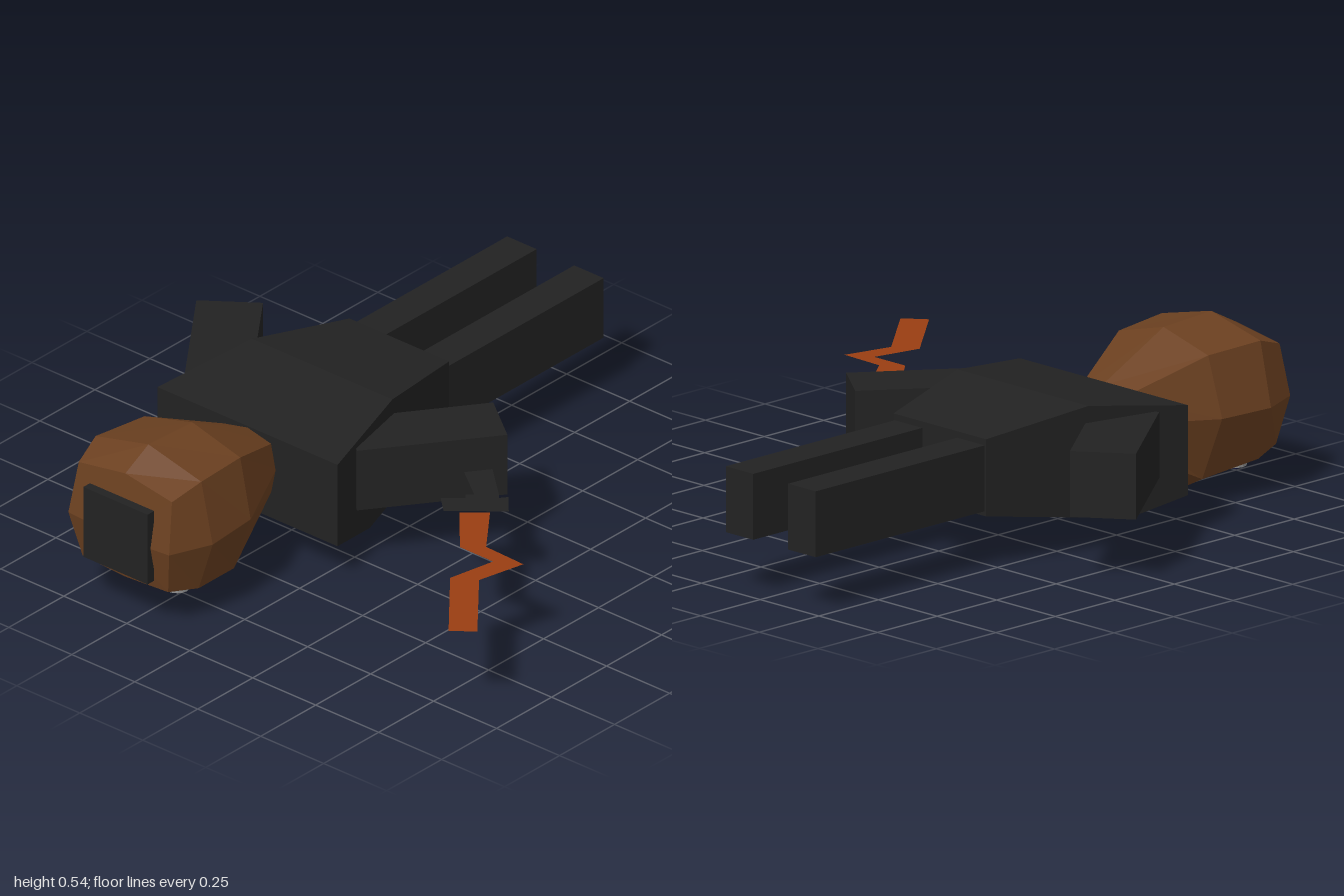
import * as THREE from 'three';

const CX = -0.295; // centre line of the lying figure

const mat = (color, side = THREE.FrontSide) =>
  new THREE.MeshStandardMaterial({ color, flatShading: true, side });

function add(parent, name, geometry, material, x = 0, y = 0, z = 0) {
  const mesh = new THREE.Mesh(geometry, material);
  mesh.name = name;
  mesh.position.set(x, y, z);
  parent.add(mesh);
  return mesh;
}

// Side profile (z, y) extruded across x, narrowing toward the hips
function torsoGeometry() {
  const profile = [[0.4, 0.41], [0.06, 0.46], [-0.29, 0.41], [-0.29, 0.17], [0.2, 0.09], [0.4, 0.13]];
  const shape = new THREE.Shape(profile.map(([z, y]) => new THREE.Vector2(z, y)));
  const geo = new THREE.ExtrudeGeometry(shape, { depth: 2, bevelEnabled: false });
  geo.translate(0, 0, -1).rotateY(-Math.PI / 2);
  const p = geo.attributes.position;
  for (let i = 0; i < p.count; i++) {
    p.setX(i, p.getX(i) * (0.1975 + (p.getZ(i) + 0.29) * 0.232));
  }
  geo.computeVertexNormals();
  return geo;
}

// Eight-sided rings from neck to crown, the low point of the second one being the nose
function headGeometry() {
  const rings = [
    // z, side bulge in z, top y, [upper x, y], [middle x, y], [lower x, y], bottom y
    [0.39, 0, 0.40, [0.09, 0.38], [0.107, 0.30], [0.09, 0.22], 0.20],
    [0.65, 0.01, 0.53, [0.19, 0.48], [0.24, 0.29], [0.165, 0.09], 0.005],
    [0.85, 0, 0.54, [0.21, 0.49], [0.255, 0.29], [0.2, 0.12], 0.10],
    [0.955, 0.03, 0.485, [0.185, 0.455], [0.2, 0.29], [0.17, 0.14], 0.13],
  ];
  const pos = [], index = [];
  for (const [z, bulge, top, u, m, l, bottom] of rings) {
    pos.push(0, top, z, u[0], u[1], z, m[0], m[1], z + bulge, l[0], l[1], z,
      0, bottom, z, -l[0], l[1], z, -m[0], m[1], z + bulge, -u[0], u[1], z);
  }
  const last = (rings.length - 1) * 8, neck = rings.length * 8, crown = neck + 1;
  pos.push(0, 0.3, 0.39, 0, 0.28, 0.99);
  for (let j = 0; j < 8; j++) {
    const k = (j + 1) % 8;
    for (let r = 0; r < last; r += 8) {
      index.push(r + j, r + 8 + j, r + k, r + k, r + 8 + j, r + 8 + k);
    }
    index.push(neck, j, k, crown, last + k, last + j);
  }
  const geo = new THREE.BufferGeometry();
  geo.setAttribute('position', new THREE.Float32BufferAttribute(pos, 3));
  geo.setIndex(index);
  geo.computeVertexNormals();
  return geo;
}

// Flat horizontal outline given as (x, z) points
function flatGeometry(points) {
  const shape = new THREE.Shape(points.map(([x, z]) => new THREE.Vector2(x, z)));
  return new THREE.ShapeGeometry(shape).rotateX(Math.PI / 2);
}

export function createModel() {
  const model = new THREE.Group();
  model.name = 'lyingFigure';
  const cloth = mat(0x222222);
  const skin = mat(0x6b4020);

  const figure = new THREE.Group();
  figure.name = 'figure';
  figure.position.x = CX;
  model.add(figure);

  add(figure, 'torso', torsoGeometry(), cloth);

  // Head with cap, eyes and mouth; the face looks down
  add(figure, 'head', headGeometry(), skin);
  add(figure, 'cap', new THREE.BoxGeometry(0.255, 0.24, 0.03), cloth, 0, 0.29, 0.985);
  const mouth = add(figure, 'mouth', new THREE.BoxGeometry(0.13, 0.02, 0.08), mat(0x0c0c0c), 0, 0.1, 0.53);
  mouth.rotation.x = 0.66;

  for (const side of [-1, 1]) {
    const label = side > 0 ? 'left' : 'right';
    add(figure, label + 'Eye', new THREE.CylinderGeometry(0.045, 0.04, 0.04, 16), mat(0x999999), side * 0.105, 0.105, 0.84);
    add(figure, label + 'Pupil', new THREE.CylinderGeometry(0.022, 0.022, 0.01, 12), mat(0x101040), side * 0.105, 0.083, 0.84);

    add(figure, label + 'Leg', new THREE.BoxGeometry(0.117, 0.205, 0.72), cloth, side * 0.133, 0.2875, -0.64);

    // Arm slants outward and back from the shoulder
    const arm = add(figure, label + 'Arm', new THREE.BoxGeometry(0.2, 0.205, 0.46), cloth, side * 0.4, 0.305, 0.05);
    arm.rotation.y = -side * 0.64;
  }

  // Flat sword with a zigzag blade, held in the left hand
  const sword = new THREE.Group();
  sword.name = 'sword';
  sword.position.y = 0.295;
  model.add(sword);
  const black = mat(0x222222, THREE.DoubleSide);
  add(sword, 'swordHandle', flatGeometry([[0.2, 0.0], [0.26, -0.07], [0.41, 0.064], [0.42, 0.12], [0.36, 0.117]].slice(0, 3).concat([[0.36, 0.117]])), black);
  add(sword, 'swordGuard', flatGeometry([
    [0.294, 0.196], [0.35, 0.147], [0.335, 0.13], [0.41, 0.064], [0.425, 0.08],
    [0.442, 0.058], [0.5, 0.122], [0.352, 0.249],
  ]), black);
  add(sword, 'swordBlade', flatGeometry([
    [0.394, 0.225], [0.463, 0.165], [0.59, 0.328], [0.743, 0.334], [0.706, 0.493],
    [0.907, 0.731], [0.839, 0.784], [0.632, 0.54], [0.664, 0.381], [0.532, 0.381],
  ]), mat(0x9a3e12, THREE.DoubleSide));

  return model;
}
